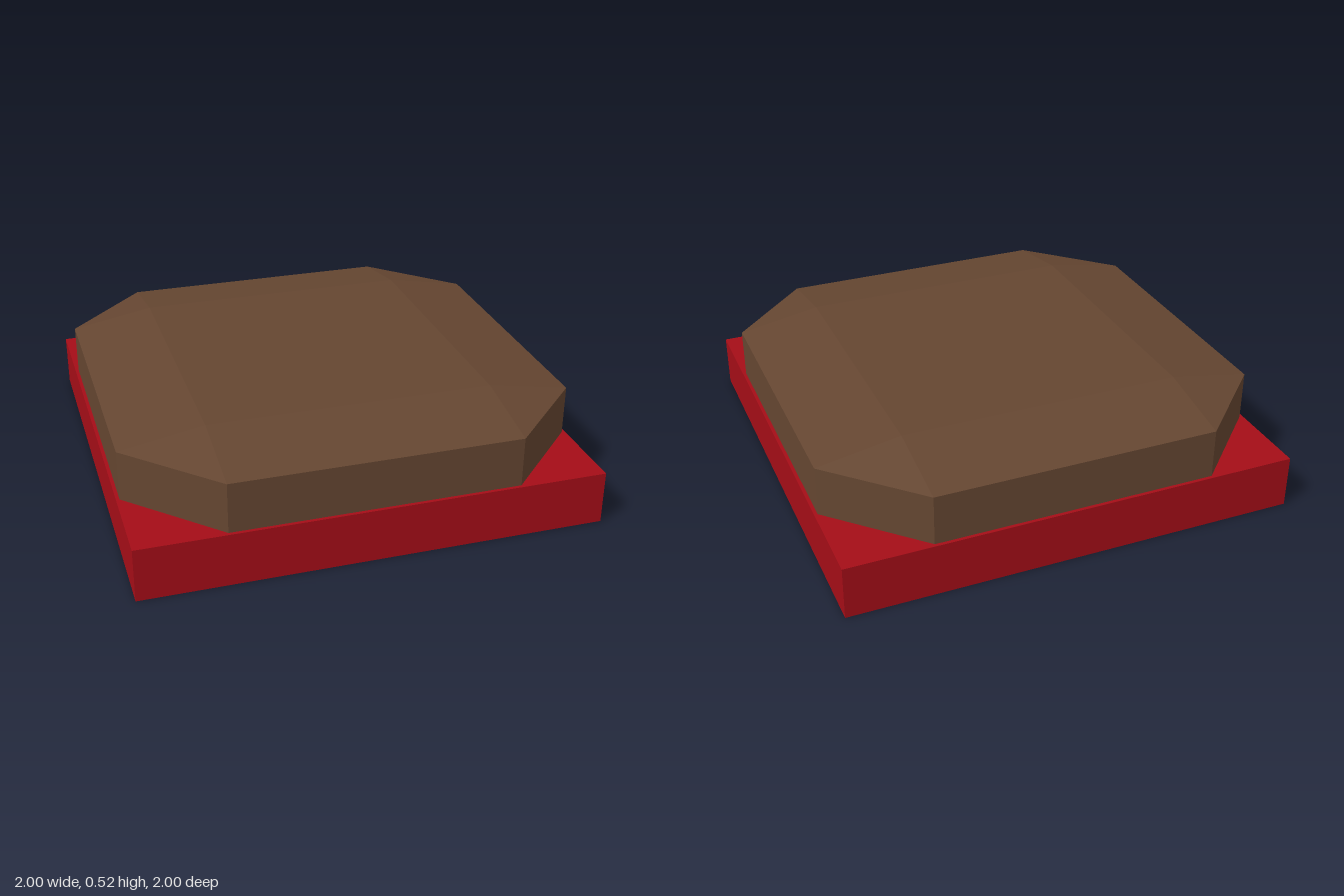
import * as THREE from 'three';
import { ConvexGeometry } from 'three/addons/geometries/ConvexGeometry.js';

const BASE_TOP = 0.235, SHOULDER = 0.455, TOP = 0.52;
const OUTER = 0.985, INNER = 0.62;

export function createModel() {
  const group = new THREE.Group();
  group.name = 'cappedPlate';

  // Square red base plate
  const base = new THREE.Mesh(
    new THREE.BoxGeometry(2, BASE_TOP, 2),
    new THREE.MeshStandardMaterial({ color: 0xa50d17 })
  );
  base.name = 'basePlate';
  base.position.y = BASE_TOP / 2;
  group.add(base);

  // Brown block: octagonal walls, shallow slopes up to a flat square top
  const points = [];
  for (const sx of [-1, 1]) {
    for (const sz of [-1, 1]) {
      for (const y of [BASE_TOP, SHOULDER]) {
        points.push(new THREE.Vector3(sx * OUTER, y, sz * INNER));
        points.push(new THREE.Vector3(sx * INNER, y, sz * OUTER));
      }
      points.push(new THREE.Vector3(sx * INNER, TOP, sz * INNER));
    }
  }
  const block = new THREE.Mesh(
    new ConvexGeometry(points),
    new THREE.MeshStandardMaterial({ color: 0x654631, flatShading: true })
  );
  block.name = 'octagonalBlock';
  group.add(block);

  return group;
}
